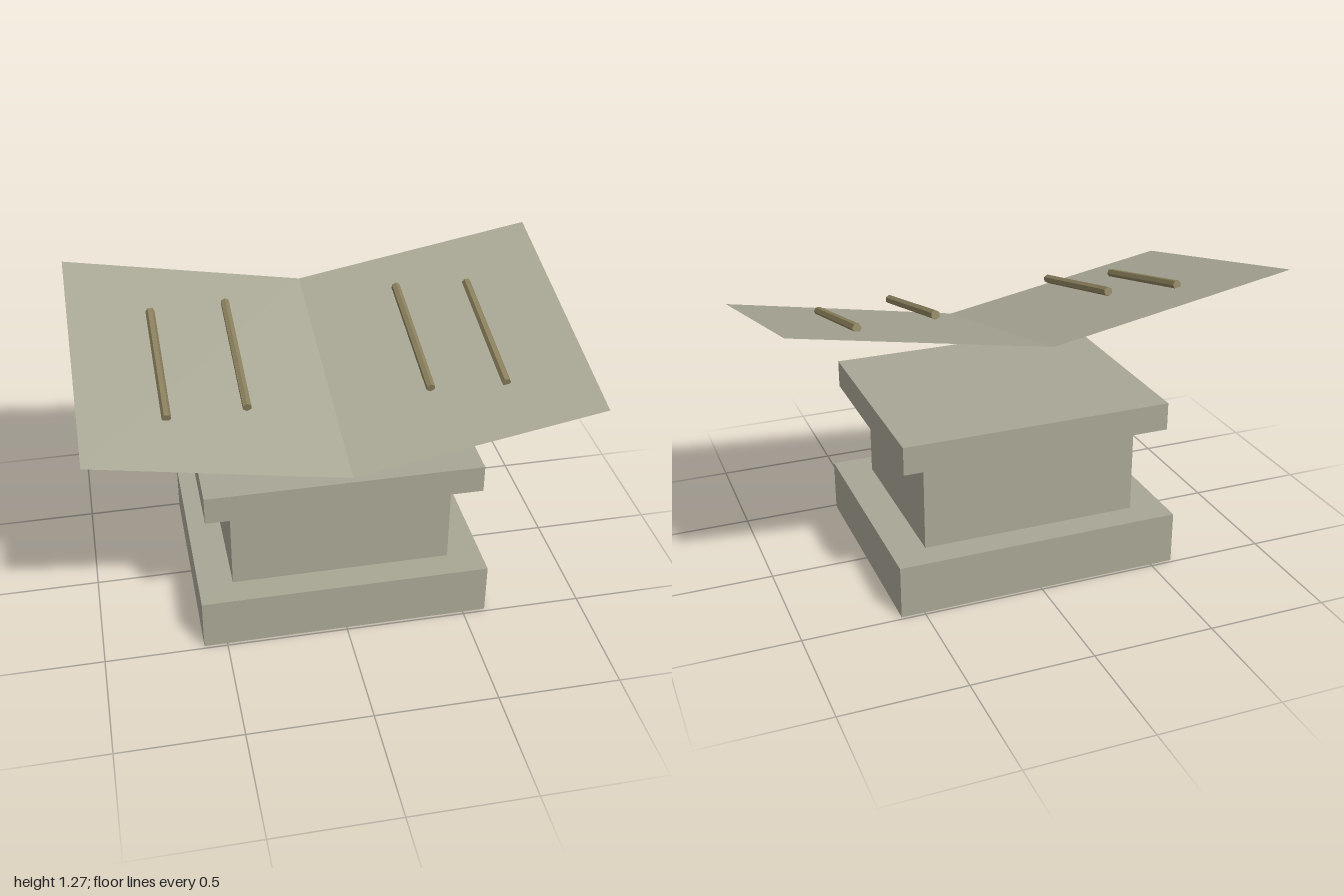
import * as THREE from 'three';

const SLOPE = 0.23;   // rise of the open pages towards the back
const SPREAD = 0.178; // rise of each page towards its outer edge

export function createModel() {
  const group = new THREE.Group();
  const stone = new THREE.MeshStandardMaterial({ color: 0xa8a694, flatShading: true, side: THREE.DoubleSide });
  stone.name = 'stone';
  const bronze = new THREE.MeshStandardMaterial({ color: 0x8a7f5c, flatShading: true });
  bronze.name = 'bronze';

  const add = (name, geometry, material) => {
    const mesh = new THREE.Mesh(geometry, material);
    mesh.name = name;
    group.add(mesh);
    return mesh;
  };

  // Stepped pedestal: name, width, depth, bottom, top
  const blocks = [
    ['plinth', 1.19, 0.974, 0, 0.22],
    ['shaft', 0.906, 0.74, 0.22, 0.604],
    ['cap', 1.118, 0.914, 0.604, 0.72],
  ];
  for (const [name, width, depth, bottom, top] of blocks) {
    add(name, new THREE.BoxGeometry(width, top - bottom, depth), stone).position.y = (bottom + top) / 2;
  }

  // Thin sheet folded into a V along its centre and tilted to the front
  const sheet = new THREE.PlaneGeometry(2, 1.14, 2, 1).rotateX(-Math.PI / 2);
  const p = sheet.attributes.position;
  for (let i = 0; i < p.count; i++) {
    p.setY(i, 0.956 + SPREAD * Math.abs(p.getX(i)) - SLOPE * p.getZ(i));
  }
  sheet.computeVertexNormals();
  add('openPages', sheet, stone);

  // Six-sided rods parallel to the fold: name, x, centre height, roll
  const rods = [
    ['innerRod', 0.36, 1.094, 0],
    ['outerRod', 0.667, 1.083, Math.PI / 6],
  ];
  for (const [name, x, y, roll] of rods) {
    for (const side of [-1, 1]) {
      const rod = new THREE.CylinderGeometry(0.0185, 0.0185, 0.613, 6)
        .rotateY(roll)
        .rotateX(Math.PI / 2 + Math.atan(SLOPE));
      add((side > 0 ? 'left' : 'right') + name[0].toUpperCase() + name.slice(1), rod, bronze)
        .position.set(side * x, y, 0.0175);
    }
  }
  return group;
}
